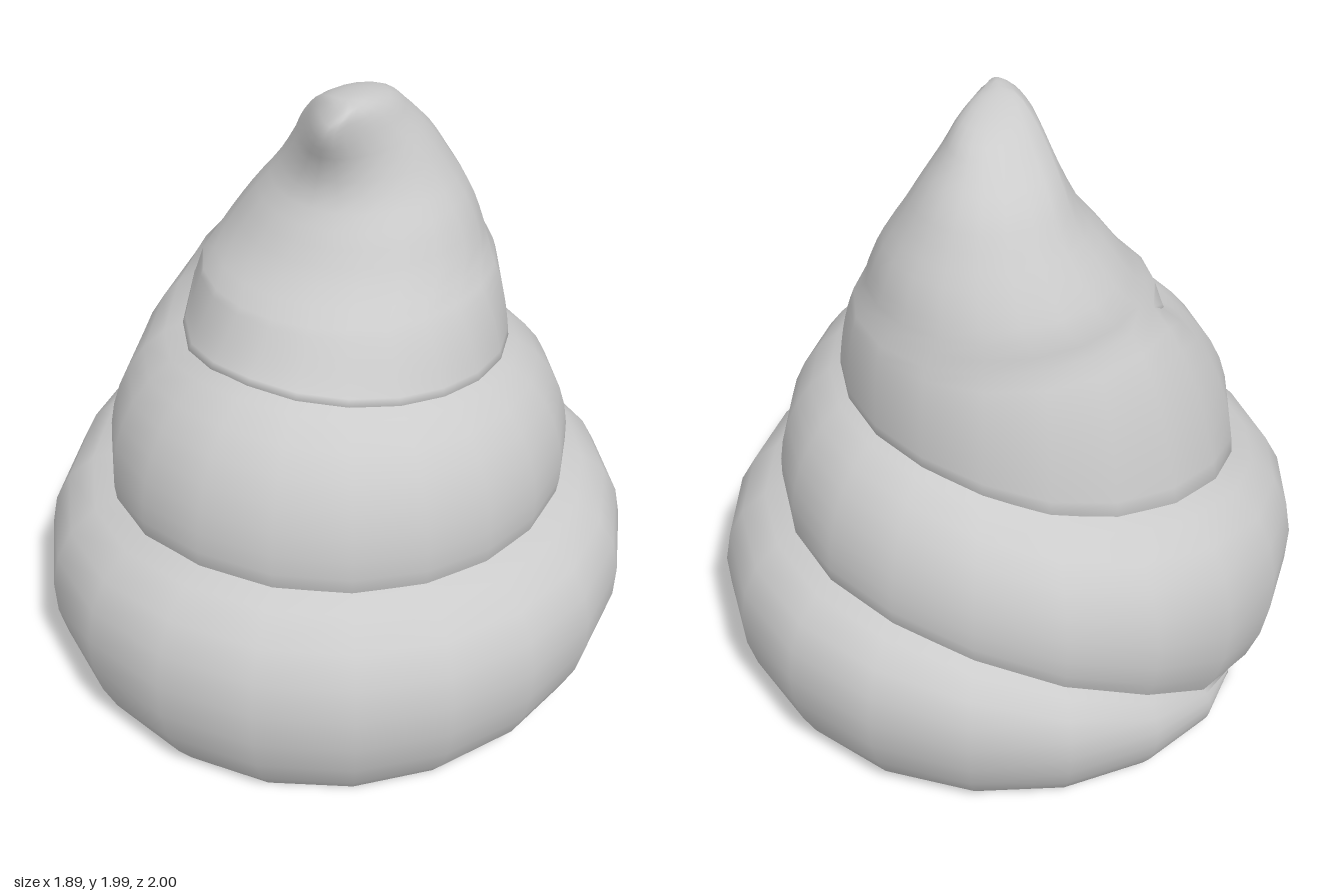
import * as THREE from 'three';
import { mergeGeometries, mergeVertices } from 'three/addons/utils/BufferGeometryUtils.js';

const SEG = 20;   // columns per turn
const ROWS = 8;   // rows across one coil
const CAP = 18;   // rows from the last turn to the tip

// Crease that winds upward: [turn, radius, height, bulge of the coil above it].
// Turn 0 = -x, 0.25 = back, 0.5 = +x, 0.75 = front.
const CREASE = [
  [-1, .83, 0, 0], [-.875, .85, 0, .3], [-.75, .86, 0, .47], [-.5, .81, 0, .53],
  [-.25, .87, 0, .53], [-.125, .86, 0, .54], [-.05, .83, 0, .51], [0, .83, .02, .5],
  [.06, .87, .21, .43], [.125, .88, .42, .36],
  [.25, .82, .63, .25], [.5, .71, .67, .28], [.75, .77, .74, .3], [.88, .76, .69, .28],
  [1, .72, .82, .12], [1.125, .66, .93, .06], [1.25, .6, 1.07, .03], [1.5, .5, 1.165, .03],
  [1.75, .5, 1.24, 0], [1.9, .5, 1.21, 0], [2, .48, 1.4, 0],
  [2.25, .56, 1.4, 0], [2.5, .405, 1.4, 0], [2.625, .37, 1.4, 0], [2.75, .37, 1.4, 0],
  [2.875, .415, 1.4, 0], [3, .48, 1.4, 0],
];

// Horizontal rings of the peak: [height, centre x, centre z, half width, half depth]
const RINGS = [
  [1.5, -.035, -.13, .395, .4], [1.6, -.025, -.147, .338, .345], [1.7, -.022, -.15, .27, .285],
  [1.8, -.02, -.118, .212, .252], [1.88, -.005, -.06, .155, .22], [1.94, .015, -.017, .11, .18],
  [1.98, .04, .04, .055, .085], [1.99, .05, .05, 0, 0],
];

// Smooth interpolation of the crease nodes
function crease(t) {
  const n = CREASE.length;
  let i = 0;
  while (i < n - 2 && t > CREASE[i + 1][0]) i++;
  const a = CREASE[i], b = CREASE[i + 1], h = b[0] - a[0], u = (t - a[0]) / h;
  const slope = (k, c) => {
    const p = CREASE[Math.max(k - 1, 0)], q = CREASE[Math.min(k + 1, n - 1)];
    return (q[c] - p[c]) / (q[0] - p[0]);
  };
  const value = (c) => {
    const u2 = u * u, u3 = u2 * u;
    return (2 * u3 - 3 * u2 + 1) * a[c] + (u3 - 2 * u2 + u) * h * slope(i, c)
      + (3 * u2 - 2 * u3) * b[c] + (u3 - u2) * h * slope(i + 1, c);
  };
  const flat = b[2] === a[2];
  return { r: value(1), y: flat ? a[2] : Math.max(0, value(2)), s: Math.max(0, value(3)) };
}

const polar = (t, r, y) =>
  new THREE.Vector3(-Math.cos(t * 2 * Math.PI) * r, y, -Math.sin(t * 2 * Math.PI) * r);

// Bulging section of the coil, from its own crease to the one a turn higher
function coilSection(t) {
  const lo = crease(t), hi = crease(t + 1);
  const tuck = THREE.MathUtils.clamp((1 - t) / .2, 0, 1) * THREE.MathUtils.clamp((t + 1) / .2, 0, 1);
  const r1 = hi.r - .05 * tuck, y1 = hi.y + .02 * tuck, h = y1 - lo.y, d = r1 - lo.r;
  const curve = new THREE.CubicBezierCurve(
    new THREE.Vector2(lo.r, lo.y),
    new THREE.Vector2(lo.r + d * .33 + lo.s * .42, lo.y + h * .25),
    new THREE.Vector2(r1 - d * .33 + lo.s * .62, y1 - h * Math.max(.08, .33 - lo.s * .6)),
    new THREE.Vector2(r1, y1));
  // Hidden hem that hangs inside the coil below
  const hem = .09 * THREE.MathUtils.clamp(lo.y / .4, 0, 1) * THREE.MathUtils.clamp((2 - t) / .2, 0, 1);
  return [new THREE.Vector2(lo.r - hem * .4, lo.y - hem), ...curve.getPoints(ROWS)]
    .map((p) => polar(t, p.x, p.y));
}

// Section of the peak, narrowing toward a nub that leans forward
function peakSection(t) {
  const base = crease(t), dir = polar(t, 1, 0), front = Math.max(0, dir.z);
  const points = [polar(t, base.r, base.y)];
  for (const [y, cx, cz, rx, rz] of RINGS) {
    const k = THREE.MathUtils.smoothstep(y, 1.6, 1.92) * (rx > 0 ? 1 : 0);
    points.push(new THREE.Vector3(
      cx + dir.x * rx * (1 - .35 * k * front) + .045 * k * front, y, cz + dir.z * rz));
  }
  return new THREE.CatmullRomCurve3(points).getPoints(CAP);
}

// Skins a run of sections into a surface
function skin(from, to, section) {
  const cols = Math.round((to - from) * SEG), pos = [], index = [];
  let rows = 0;
  for (let i = 0; i <= cols; i++) {
    const pts = section(from + (to - from) * i / cols);
    rows = pts.length;
    pts.forEach((p) => pos.push(p.x, p.y, p.z));
  }
  for (let i = 0; i < cols; i++) {
    for (let j = 0; j < rows - 1; j++) {
      const a = i * rows + j, b = a + rows;
      index.push(a, a + 1, b, b, a + 1, b + 1);
    }
  }
  const g = new THREE.BufferGeometry();
  g.setAttribute('position', new THREE.Float32BufferAttribute(pos, 3));
  g.setIndex(index);
  return g;
}

export function createModel() {
  const group = new THREE.Group();
  group.name = 'softSwirl';

  // Coils and peak share their joining ring, so the shading runs through
  const geometry = mergeVertices(
    mergeGeometries([skin(-1, 2, coilSection), skin(2, 3, peakSection)]), 1e-4);
  geometry.computeVertexNormals();

  const swirl = new THREE.Mesh(geometry,
    new THREE.MeshStandardMaterial({ color: 0xcccccc, side: THREE.DoubleSide }));
  swirl.name = 'swirl';
  group.add(swirl);
  return group;
}
